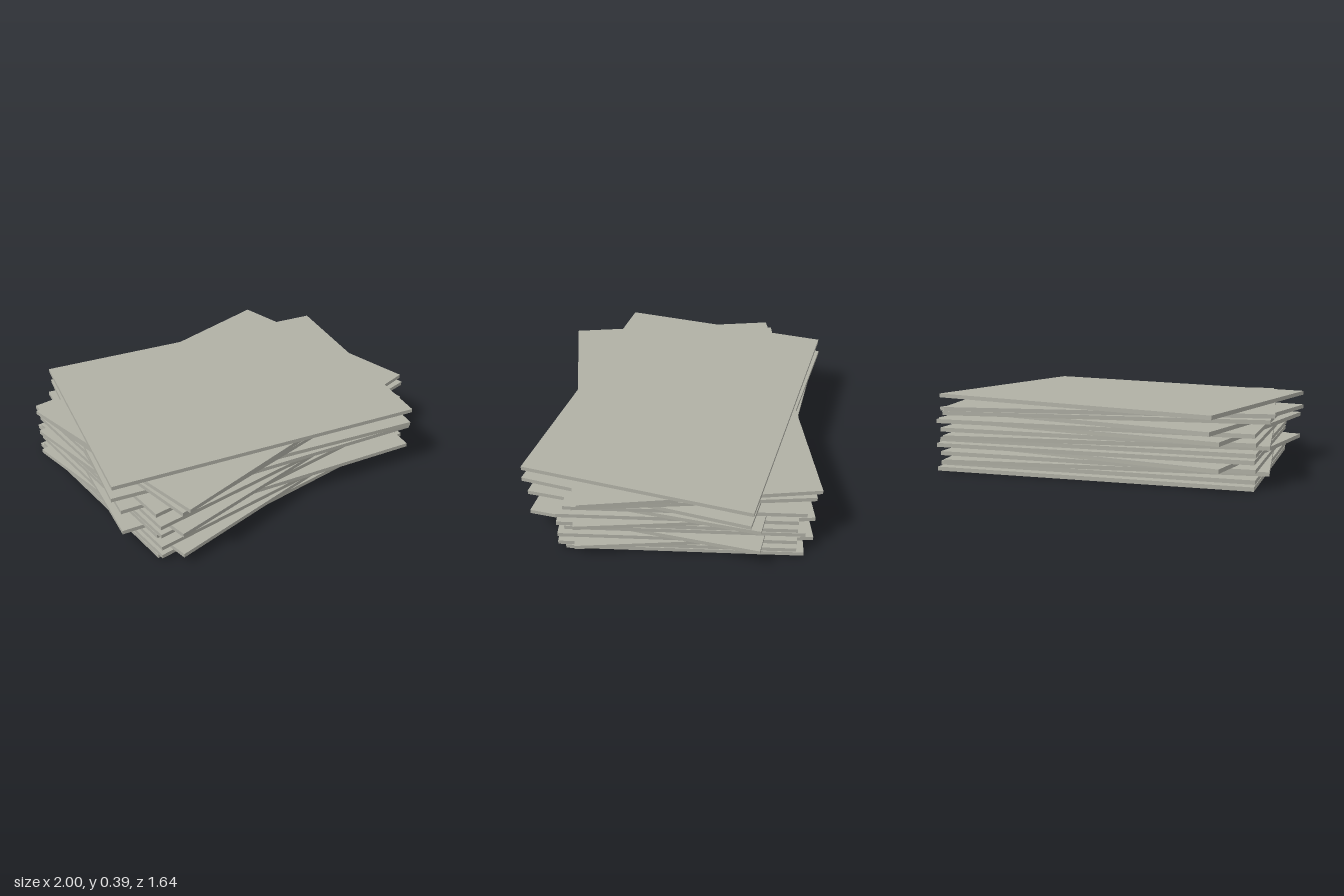
import * as THREE from 'three';

export function createModel() {
  const group = new THREE.Group();
  group.name = 'sheetStack';
  const paper = new THREE.MeshStandardMaterial({ color: 0xb0b0a5 });
  paper.name = 'warm grey';

  const width = 1.74, depth = 1.235, thickness = 0.022, pitch = 0.0264;
  const sheet = new THREE.BoxGeometry(width, thickness, depth);

  // Each sheet from the bottom up: turn in degrees, z offset
  const back = [0, -0.038], straight = [0, 0.002];
  const left = [6, 0], right = [-12, 0];
  const layers = [
    back, straight, left, straight, right,
    back, straight, left, straight, right,
    back, [-15, 0], left, [8, 0], [-14.4, 0],
  ];

  layers.forEach(([turn, z], i) => {
    const mesh = new THREE.Mesh(sheet, paper);
    mesh.name = `sheet${i + 1}`;
    mesh.position.set(turn ? 0 : -0.004, thickness / 2 + i * pitch, z);
    mesh.rotation.y = THREE.MathUtils.degToRad(turn);
    group.add(mesh);
  });
  return group;
}
